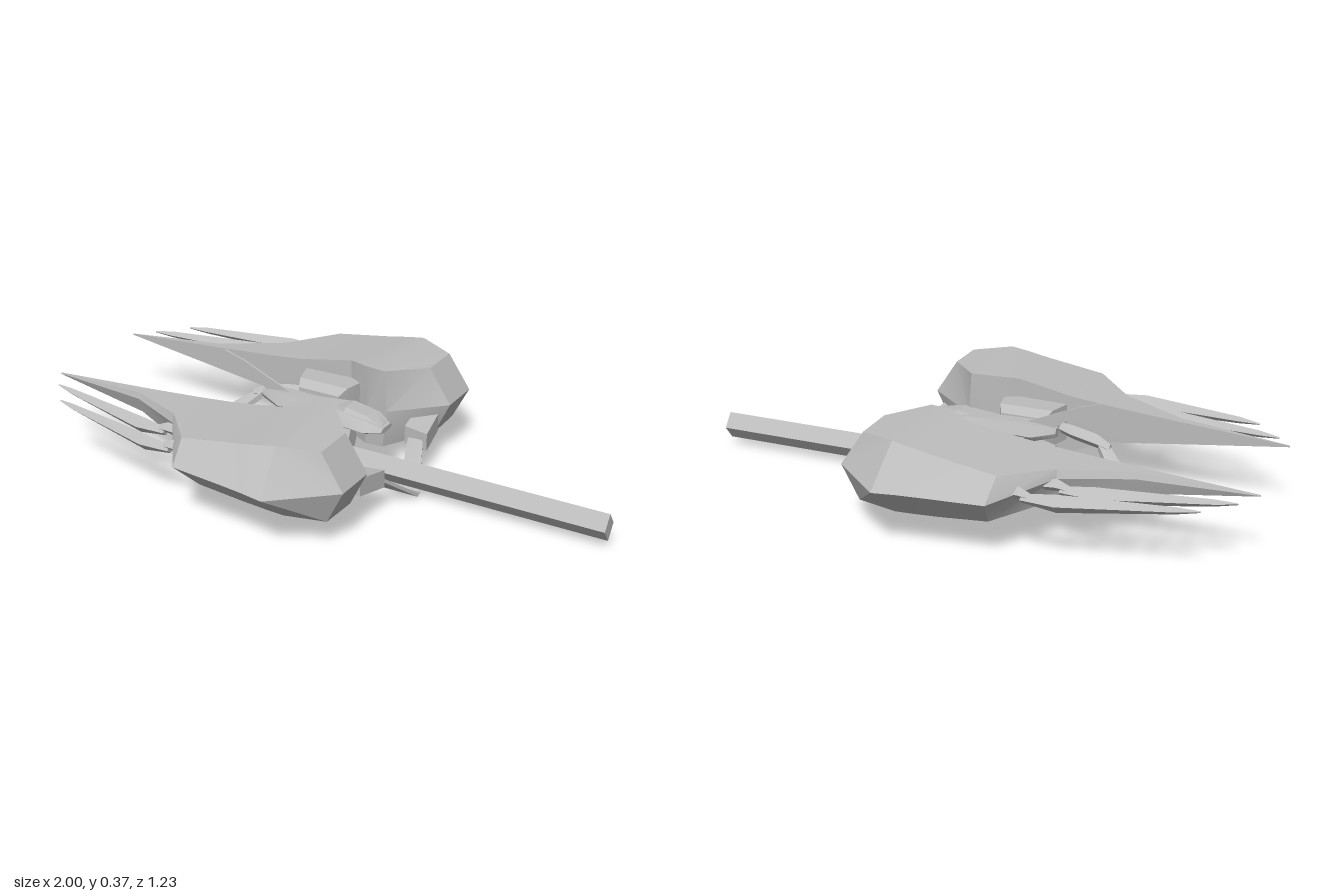
import * as THREE from 'three';
import { toCreasedNormals } from 'three/addons/utils/BufferGeometryUtils.js';

const hull = new THREE.MeshStandardMaterial({ color: 0xbcbcbc });
hull.name = 'hull grey';

// Skins a row of equal-length cross-sections, closes both ends and turns faces outward.
function loft(name, sections, side = 1) {
  const rings = sections.map(r => r.map(([x, y, z]) => new THREE.Vector3(x, y, z * side)));
  const n = rings[0].length, tris = [];
  for (let i = 0; i + 1 < rings.length; i++) {
    for (let j = 0; j < n; j++) {
      const k = (j + 1) % n, a = rings[i], b = rings[i + 1];
      tris.push([a[j], b[j], b[k]], [a[j], b[k], a[k]]);
    }
  }
  // Fans start at the third corner, so a folded end keeps its mid crease.
  const cap = (r, flip) => {
    for (let j = 1; j < n - 1; j++) {
      const t = [r[2 % n], r[(2 + j) % n], r[(3 + j) % n]];
      tris.push(flip ? t.reverse() : t);
    }
  };
  cap(rings[0], false);
  cap(rings[rings.length - 1], true);
  const solid = tris.filter(([a, b, c]) =>
    b.clone().sub(a).cross(c.clone().sub(a)).length() > 1e-8);
  const volume = solid.reduce((v, [a, b, c]) => v + a.dot(b.clone().cross(c)), 0);
  const pts = solid.flatMap(t => (volume < 0 ? [t[2], t[1], t[0]] : t));
  const geo = toCreasedNormals(new THREE.BufferGeometry().setFromPoints(pts), 0.45);
  const mesh = new THREE.Mesh(geo, hull);
  mesh.name = name;
  return mesh;
}

// Cross-sections facing along x.
const diamond = (x, y, hy, hz, z = 0) =>
  [[x, y + hy, z], [x, y, z + hz], [x, y - hy, z], [x, y, z - hz]];
const hexagon = (x, yLow, yMid, yTop, w, topW) =>
  [[x, yTop, topW], [x, yMid, w], [x, yLow, w * 0.6], [x, yLow, -w * 0.6], [x, yMid, -w], [x, yTop, -topW]];

// Slab between two edges, each given by two points, with a vertical thickness.
const slab = (name, edges, t, side) => loft(name,
  edges.map(([a, b]) => [[a[0], a[1] + t, a[2]], [b[0], b[1] + t, b[2]], [b[0], b[1] - t, b[2]], [a[0], a[1] - t, a[2]]]), side);

// Side hull sections: top inner, top outer, mid outer, bottom outer, bottom inner, mid inner.
const pod = [
  [[-1, 0.24, 0.21], [-1, 0.24, 0.212], [-1, 0.237, 0.213], [-1, 0.235, 0.212], [-1, 0.235, 0.21], [-1, 0.237, 0.21]],
  [[-0.62, 0.267, 0.21], [-0.62, 0.265, 0.25], [-0.62, 0.245, 0.257], [-0.62, 0.19, 0.24], [-0.62, 0.185, 0.21], [-0.62, 0.225, 0.21]],
  [[-0.4, 0.285, 0.21], [-0.4, 0.28, 0.35], [-0.4, 0.25, 0.36], [-0.38, 0.16, 0.33], [-0.36, 0.15, 0.21], [-0.4, 0.21, 0.21]],
  [[-0.25, 0.3, 0.21], [-0.26, 0.292, 0.5], [-0.25, 0.22, 0.57], [-0.22, 0.12, 0.47], [-0.18, 0.06, 0.22], [-0.22, 0.2, 0.21]],
  [[-0.05, 0.335, 0.22], [-0.05, 0.325, 0.5], [-0.05, 0.22, 0.592], [-0.05, 0.105, 0.47], [-0.02, 0.05, 0.21], [-0.05, 0.2, 0.22]],
  [[0.04, 0.35, 0.172], [0.03, 0.34, 0.5], [0.03, 0.22, 0.602], [0.03, 0.1, 0.47], [0.03, 0.052, 0.178], [0.04, 0.2, 0.17]],
  [[0.11, 0.35, 0.166], [0.09, 0.35, 0.497], [0.11, 0.218, 0.613], [0.1, 0.096, 0.468], [0.1, 0.056, 0.178], [0.12, 0.2, 0.166]],
  [[0.22, 0.34, 0.29], [0.22, 0.338, 0.44], [0.3, 0.217, 0.445], [0.24, 0.1, 0.44], [0.24, 0.095, 0.295], [0.3, 0.217, 0.292]],
];

export function createModel() {
  const model = new THREE.Group();
  model.name = 'spacecraft';
  const add = (...m) => model.add(...m);

  // Long diamond barrel with the engine block at its rear
  add(loft('barrel', [diamond(-0.625, 0.083, 0.048, 0.038), diamond(1, 0.083, 0.048, 0.038)]));
  add(loft('engineBlock', [
    diamond(-0.55, 0.081, 0.055, 0.045), diamond(-0.53, 0.081, 0.076, 0.066),
    diamond(-0.305, 0.081, 0.076, 0.066), diamond(-0.28, 0.081, 0.055, 0.045),
  ]));

  // Central body: lower deck, fuselage, canopy and fin
  add(loft('lowerDeck', [
    hexagon(-0.26, 0.17, 0.185, 0.195, 0.03, 0.02), hexagon(-0.14, 0.16, 0.182, 0.205, 0.095, 0.06),
    hexagon(-0.03, 0.16, 0.182, 0.205, 0.095, 0.06), hexagon(0.05, 0.17, 0.185, 0.2, 0.05, 0.03),
  ]));
  add(loft('fuselage', [
    hexagon(-0.27, 0.235, 0.25, 0.265, 0.015, 0.01), hexagon(-0.19, 0.215, 0.235, 0.275, 0.045, 0.025),
    hexagon(-0.06, 0.215, 0.235, 0.275, 0.035, 0.02), hexagon(0.05, 0.215, 0.235, 0.275, 0.07, 0.045),
    hexagon(0.16, 0.215, 0.23, 0.26, 0.072, 0.045), hexagon(0.21, 0.22, 0.228, 0.238, 0.04, 0.025),
  ]));
  add(loft('canopy', [
    hexagon(0.02, 0.25, 0.26, 0.272, 0.02, 0.012), hexagon(0.07, 0.25, 0.265, 0.287, 0.048, 0.03),
    hexagon(0.15, 0.24, 0.255, 0.272, 0.045, 0.03), hexagon(0.2, 0.23, 0.238, 0.243, 0.03, 0.02),
  ]));
  add(loft('tailFin', [0.004, -0.004].map(z =>
    [[-0.43, 0.375, z], [-0.35, 0.352, z], [-0.15, 0.268, z], [-0.25, 0.258, z], [-0.3, 0.295, z]])));
  add(loft('bodyPylon', [diamond(-0.18, 0.16, 0.07, 0.03), diamond(0.08, 0.16, 0.07, 0.03)]));

  for (const side of [1, -1]) {
    // Large faceted side hull ending in a rear spike
    add(loft('sideHull', pod, side));

    // Twin trailing blades and the links holding them
    for (const [x, z] of [[-0.95, 0.285], [-0.86, 0.383]]) {
      add(loft('trailingBlade', [
        diamond(x, 0.232, 0.003, 0.003, z), diamond(x + 0.07, 0.23, 0.012, 0.014, z + 0.015),
        diamond(x + 0.42, 0.217, 0.03, 0.028, z + 0.08), diamond(x + 0.53, 0.22, 0.015, 0.018, z + 0.088),
      ], side));
      add(loft('bladeLink', [
        diamond(x + 0.5, 0.225, 0.012, 0.012, z + 0.085), diamond(x + 0.54, 0.235, 0.02, 0.022, z + 0.085),
        diamond(x + 0.7, 0.22, 0.015, 0.015, z + 0.085),
      ], side));
    }

    // Inner chamfered housing beside the body
    const housing = (z, x0, x1, y0, y1) => [[x0, y0, z], [x1, y0, z], [x1, y1, z], [x0, y1, z]];
    add(loft('innerHousing', [
      housing(0.095, -0.19, -0.03, 0.14, 0.25), housing(0.13, -0.205, -0.015, 0.14, 0.27),
      housing(0.25, -0.24, 0.01, 0.14, 0.27),
    ], side));
    add(loft('housingFoot', [
      housing(0.14, -0.16, -0.02, 0.085, 0.15), housing(0.24, -0.16, -0.02, 0.085, 0.15),
    ], side));

    // Rear strut: diagonal arm, elbow block and link into the hull
    add(slab('rearArm', [
      [[-0.53, 0.075, 0.045], [-0.46, 0.075, 0.045]], [[-0.4, 0.16, 0.155], [-0.37, 0.16, 0.135]],
    ], 0.012, side));
    add(loft('rearElbow', [
      diamond(-0.41, 0.16, 0.015, 0.015, 0.145), diamond(-0.36, 0.175, 0.025, 0.026, 0.155),
      diamond(-0.27, 0.19, 0.025, 0.026, 0.165), diamond(-0.2, 0.195, 0.018, 0.018, 0.19),
    ], side));

    // Front strut: slanted plate from under the barrel to a foot at the hull
    add(slab('frontArm', [
      [[0.26, 0.015, 0.005], [0.335, 0.015, 0.005]], [[0.2, 0.125, 0.18], [0.27, 0.125, 0.15]],
    ], 0.007, side));
    add(slab('frontArmMount', [
      [[0.19, 0.13, 0.17], [0.285, 0.13, 0.15]], [[0.18, 0.15, 0.28], [0.265, 0.15, 0.275]],
    ], 0.032, side));
  }
  return model;
}
